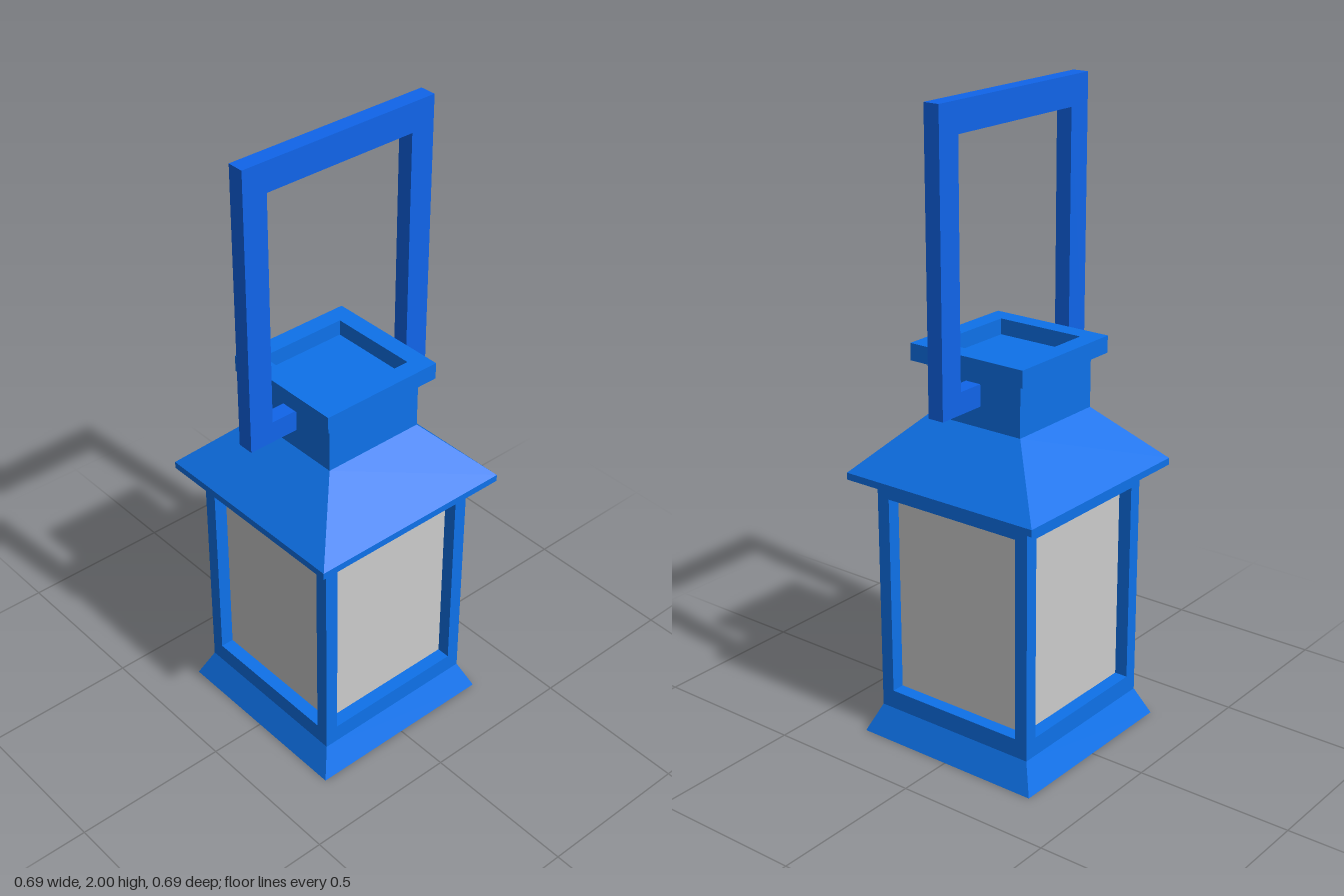
import * as THREE from 'three';

const bodyMat = new THREE.MeshStandardMaterial({ color: 0x0e72ea, flatShading: true });
const handleMat = new THREE.MeshStandardMaterial({ color: 0x1065ea, flatShading: true });
const glassMat = new THREE.MeshStandardMaterial({ color: 0xcccccc, flatShading: true });

export function createModel() {
  const model = new THREE.Group();
  model.name = 'lantern';

  const add = (name, geometry, material, x = 0, y = 0, z = 0) => {
    const mesh = new THREE.Mesh(geometry, material);
    mesh.name = name;
    mesh.position.set(x, y, z);
    model.add(mesh);
    return mesh;
  };

  // Square solid from a profile of [half width, height], bottom to top
  const square = (name, profile) => {
    const points = profile.map(([h, y]) => new THREE.Vector2(h * Math.SQRT2, y));
    const geometry = new THREE.LatheGeometry(points, 4, Math.PI / 4).toNonIndexed();
    geometry.computeVertexNormals();
    return add(name, geometry, bodyMat);
  };

  // Flared base with the lower window rail
  square('base', [[0, 0], [0.32, 0], [0.28, 0.09], [0.28, 0.15], [0, 0.15]]);

  // Corner posts around the recessed panes
  const half = 0.28, post = 0.043, y0 = 0.15, y1 = 0.79;
  const inner = half - post;
  for (const sx of [-1, 1]) {
    for (const sz of [-1, 1]) {
      add('cornerPost', new THREE.BoxGeometry(post, y1 - y0, post), bodyMat,
        sx * (half - post / 2), (y0 + y1) / 2, sz * (half - post / 2));
    }
  }
  add('glass', new THREE.BoxGeometry(inner * 2, y1 - y0, inner * 2), glassMat, 0, (y0 + y1) / 2, 0);
  square('topRail', [[0, y1], [half, y1], [half, 0.85], [0, 0.85]]);

  // Sloped roof with a thin eave
  square('roof', [[0, 0.848], [0.343, 0.848], [0.343, 0.87], [0.17, 1.045], [0, 1.045]]);

  // Chimney neck and overhanging cap with a sunken top
  square('chimney', [
    [0.17, 1.045], [0.17, 1.212], [0.205, 1.212], [0.205, 1.265],
    [0.147, 1.265], [0.147, 1.215], [0, 1.215],
  ]);

  // Square carrying handle with inward tabs that meet the neck
  const outer = 0.337, leg = 0.257, bottom = 1.11, tabTop = 1.178;
  const shape = new THREE.Shape([
    [-0.165, bottom], [-0.165, tabTop], [-leg, tabTop], [-leg, 1.908],
    [leg, 1.908], [leg, tabTop], [0.165, tabTop], [0.165, bottom],
    [outer, bottom], [outer, 2], [-outer, 2], [-outer, bottom],
  ].map(([z, y]) => new THREE.Vector2(z, y)));
  const width = 0.052;
  const handle = new THREE.ExtrudeGeometry(shape, { depth: width, bevelEnabled: false });
  handle.translate(0, 0, -width / 2).rotateY(-Math.PI / 2);
  add('handle', handle, handleMat);

  return model;
}
